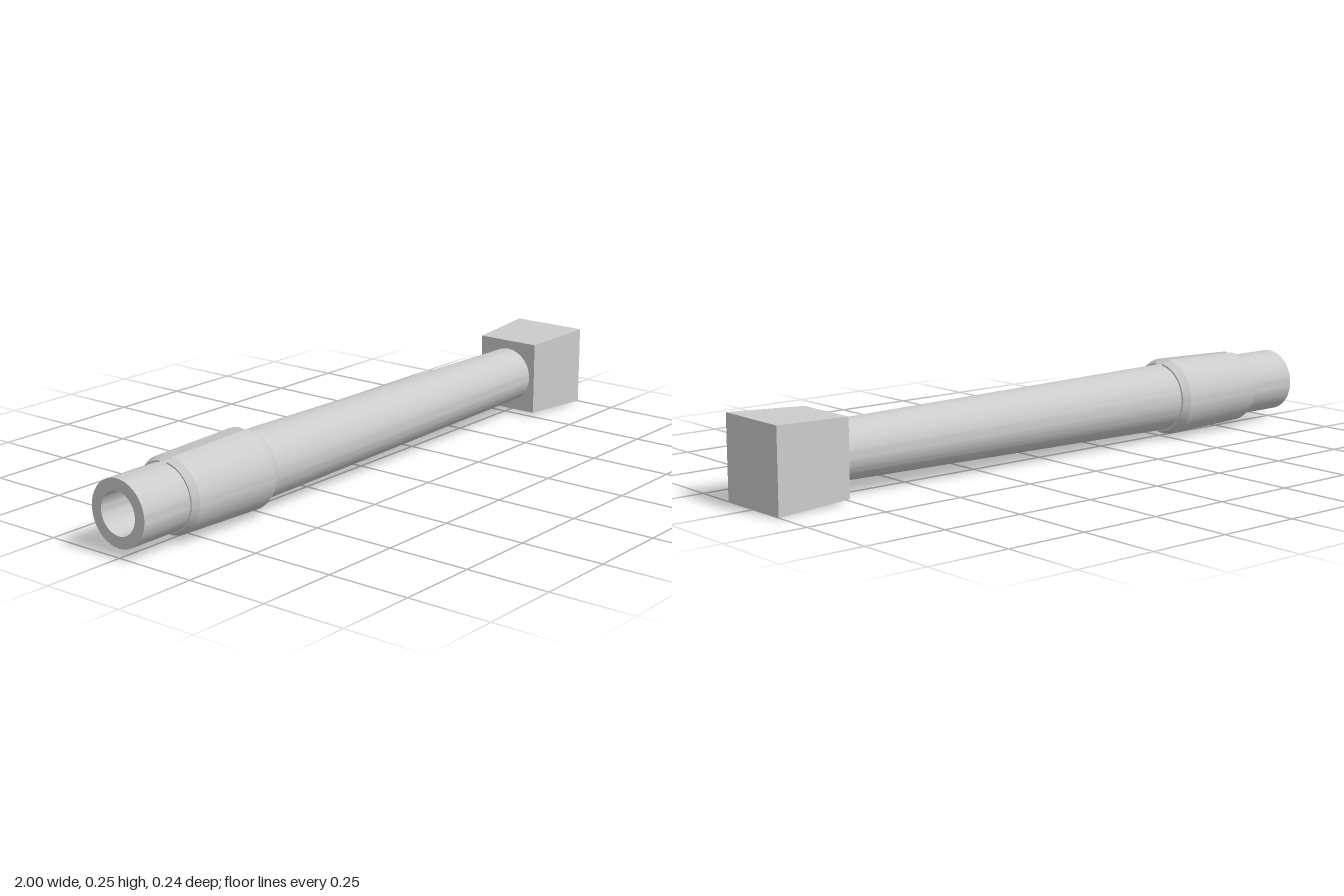
import * as THREE from 'three';
import { toCreasedNormals } from 'three/addons/utils/BufferGeometryUtils.js';

const AXIS_Y = 0.123;
const SEGMENTS = 64;

export function createModel() {
  const model = new THREE.Group();
  const material = new THREE.MeshStandardMaterial({ color: 0xcccccc });
  const thinMaterial = new THREE.MeshStandardMaterial({ color: 0xcccccc, side: THREE.DoubleSide });

  function add(name, geometry, mat = material) {
    const mesh = new THREE.Mesh(geometry, mat);
    mesh.name = name;
    model.add(mesh);
    return mesh;
  }

  // Places a geometry built around local y along the tube's x axis
  const alongX = (g) => g.rotateZ(-Math.PI / 2).translate(0, AXIS_Y, 0);

  // Profiles are [radius, x] pairs: outer wall forward, inner wall back
  function turned(profile, start = 0, sweep = Math.PI * 2) {
    const points = profile.map(([r, x]) => new THREE.Vector2(r, x));
    const lathe = new THREE.LatheGeometry(points, SEGMENTS, start, sweep);
    return alongX(toCreasedNormals(lathe, 0.35));
  }

  // Hollow tapering tube
  add('tube', turned([
    [0.062, -1], [0.096, -1], [0.096, -0.66], [0.104, -0.64],
    [0.085, 0.77], [0.062, 0.77], [0.062, -1],
  ]));

  // Bevelled collar, split along the top
  const collar = [
    [0.094, -0.83], [0.1, -0.83], [0.111, -0.81], [0.119, -0.52],
    [0.107, -0.495], [0.094, -0.495], [0.094, -0.83],
  ];
  const halfGap = 0.13;
  const top = Math.PI * 1.5;
  add('collar', turned(collar, top + halfGap, Math.PI * 2 - halfGap * 2));

  // Flat walls on both sides of the split
  const wall = new THREE.Shape(collar.map(([r, x]) => new THREE.Vector2(r, x)));
  for (const side of [-1, 1]) {
    const g = new THREE.ShapeGeometry(wall).rotateY(top + side * halfGap - Math.PI / 2);
    add('collarSlotWall', alongX(g), thinMaterial);
  }

  // Square head, narrower where it meets the tube
  const head = new THREE.BoxGeometry(0.24, 0.245, 0.242);
  const p = head.attributes.position;
  for (let i = 0; i < p.count; i++) {
    if (p.getX(i) < 0) {
      p.setY(i, p.getY(i) * 0.92);
      p.setZ(i, p.getZ(i) * 0.85);
    }
  }
  head.computeVertexNormals();
  add('head', head.translate(0.88, AXIS_Y, 0));

  return model;
}
